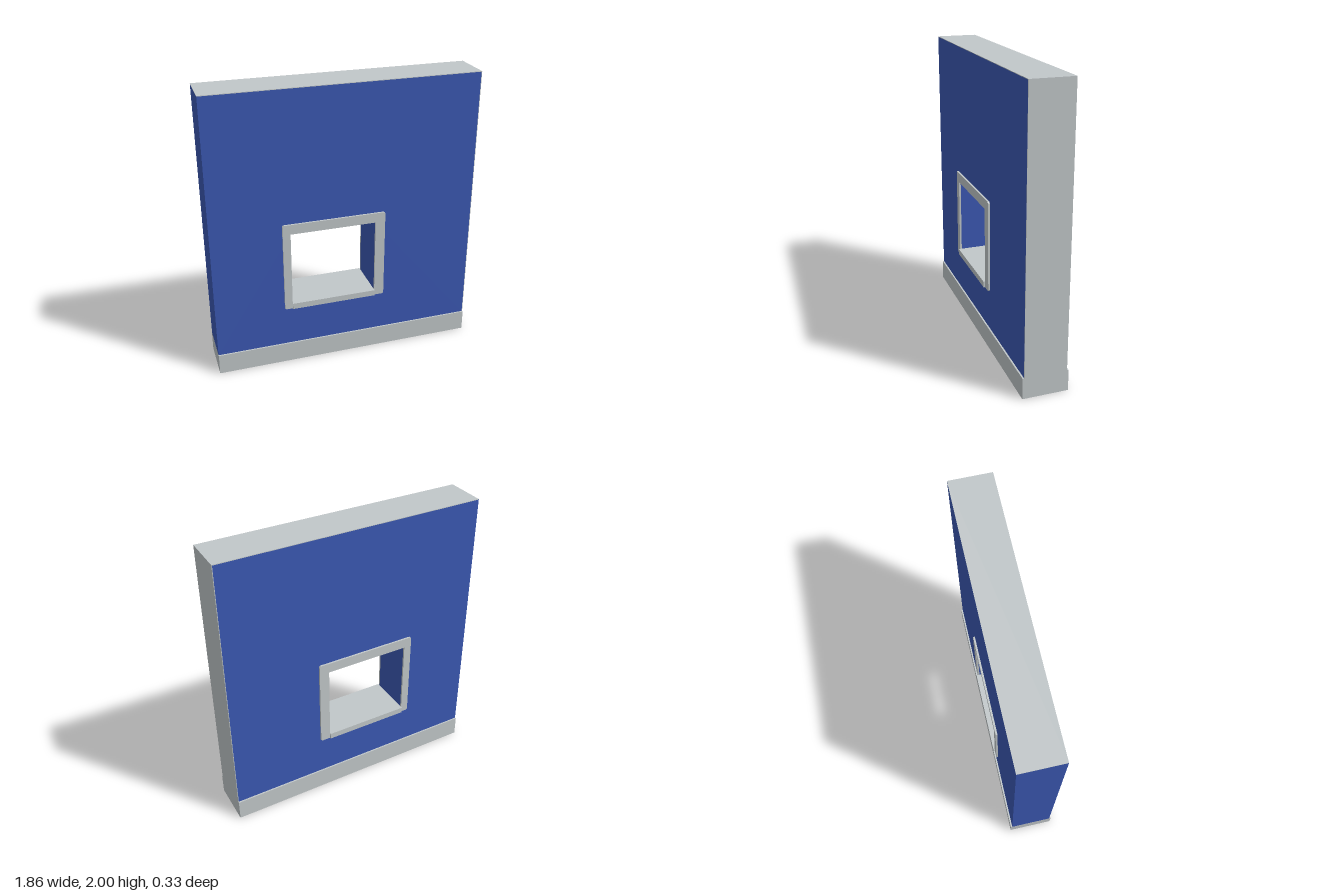
import * as THREE from 'three';

const blue = new THREE.MeshStandardMaterial({ name: 'blue plaster', color: 0x3b58b3 });
const grey = new THREE.MeshStandardMaterial({ name: 'pale grey stone', color: 0xc1c7c9 });

const W = 0.93, H = 2, D = 0.144;          // half width, height, half depth of the wall
const BASE = 0.147, CAP = 0.004;           // plinth height, thickness of the grey end plates
const win = { l: -0.393, r: 0.206, b: 0.435, t: 1.01 };
const sillTop = 0.477;

function polygon(points) {
  return new THREE.Shape(points.map(([x, y]) => new THREE.Vector2(x, y)));
}

// Extrude a shape from z0 to z1
function slab(name, shape, z0, z1, material) {
  const geo = new THREE.ExtrudeGeometry(shape, { depth: z1 - z0, bevelEnabled: false });
  geo.translate(0, 0, z0);
  const mesh = new THREE.Mesh(geo, material);
  mesh.name = name;
  return mesh;
}

// Box given by its limits on each axis
function box(name, x0, x1, y0, y1, z0, z1, material) {
  const mesh = new THREE.Mesh(new THREE.BoxGeometry(x1 - x0, y1 - y0, z1 - z0), material);
  mesh.position.set((x0 + x1) / 2, (y0 + y1) / 2, (z0 + z1) / 2);
  mesh.name = name;
  return mesh;
}

export function createModel() {
  const model = new THREE.Group();
  model.name = 'wallWithWindow';

  // Blue wall with the window opening
  const wall = polygon([[-W, BASE], [W - CAP, BASE], [W - CAP, H - CAP], [-W, H - CAP]]);
  wall.holes.push(polygon([[win.l, win.b], [win.l, win.t], [win.r, win.t], [win.r, win.b]]));
  model.add(slab('wall', wall, -D, D, blue));

  // Grey top and left end
  model.add(box('wallTop', -W, W, H - CAP, H, -D, D, grey));
  model.add(box('wallEnd', W - CAP, W, BASE, H - CAP, -D, D, grey));

  // Plinth, slightly proud of both faces
  model.add(box('plinth', -W, W, 0, BASE, -0.155, 0.155, grey));

  // Sill running through the opening
  model.add(box('windowSill', win.l, win.r, win.b, sillTop, -0.167, 0.167, grey));

  // Frame of two jambs and a lintel on each face, with clipped outer corners
  const x0 = -0.447, x1 = 0.276, y0 = win.b, y1 = 1.08, c = 0.008;
  const frame = polygon([
    [x0 + c, y0], [win.l, y0], [win.l, win.t], [win.r, win.t], [win.r, y0], [x1 - c, y0],
    [x1, y0 + c], [x1, y1 - c], [x1 - c, y1], [x0 + c, y1], [x0, y1 - c], [x0, y0 + c],
  ]);
  model.add(slab('frontFrame', frame, D, 0.157, grey));
  model.add(slab('backFrame', frame, -0.157, -D, grey));

  return model;
}
